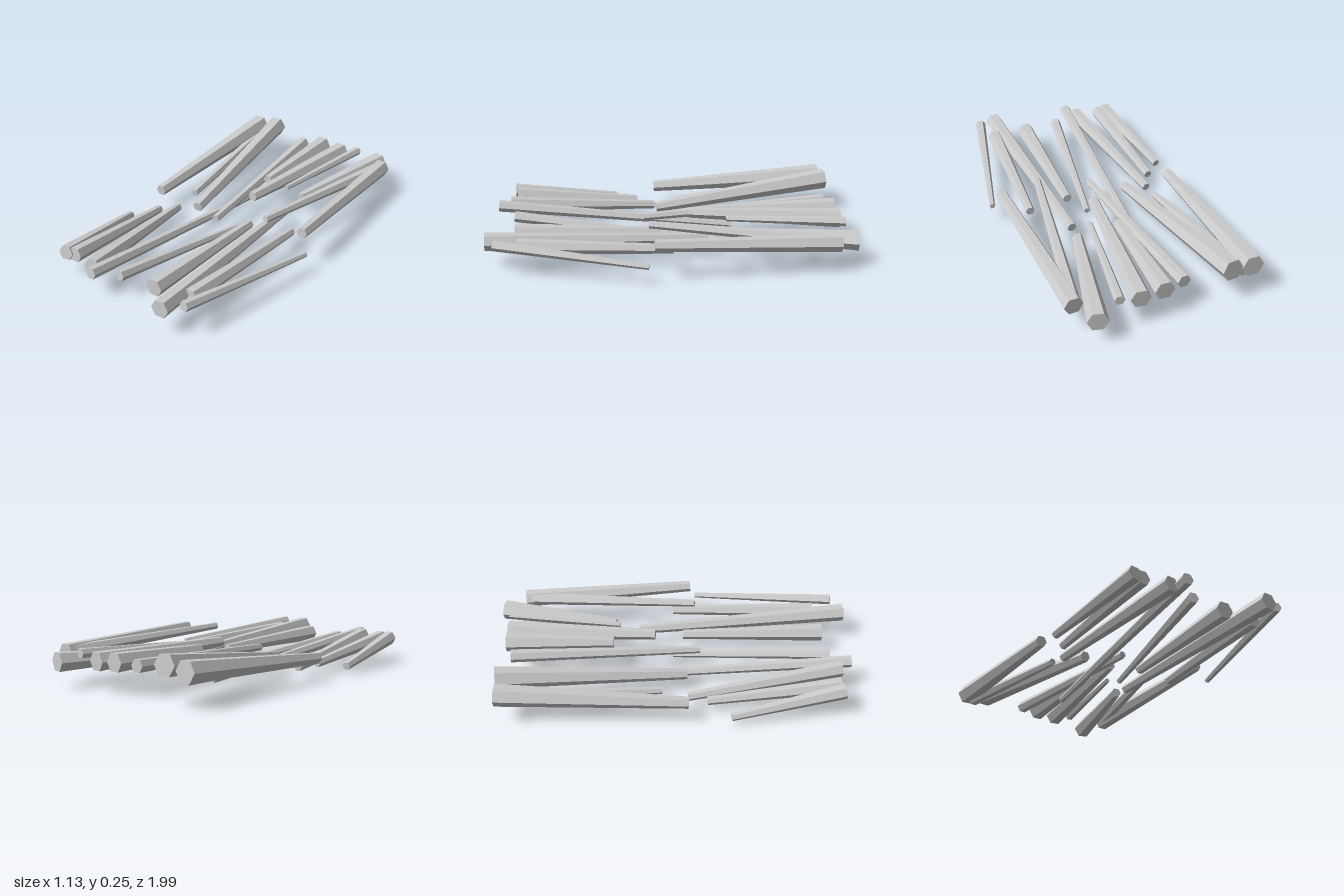
import * as THREE from 'three';

const material = new THREE.MeshStandardMaterial({ color: 0xcccccc, flatShading: true });

// Each stick: thick end [x, y, z], radius, thin end [x, y, z], radius
const backRow = [
  [[-0.51, 0.178, -0.91], 0.06, [-0.49, 0.12, 0.09], 0.032],
  [[-0.48, 0.14, -0.88], 0.035, [-0.352, 0.09, -0.05], 0.02],
  [[-0.39, 0.197, -0.925], 0.06, [-0.22, 0.10, 0.08], 0.03],
  [[-0.15, 0.16, -0.88], 0.036, [-0.03, 0.125, 0.155], 0.021],
  [[-0.03, 0.168, -0.92], 0.053, [-0.022, 0.165, -0.325], 0.03],
  [[0.098, 0.16, -0.927], 0.053, [0.037, 0.178, -0.095], 0.029],
  [[0.211, 0.19, -0.935], 0.027, [0.13, 0.18, -0.295], 0.015],
  [[0.338, 0.138, -0.985], 0.055, [0.21, 0.13, -0.325], 0.029],
  [[0.418, 0.165, -0.87], 0.05, [0.502, 0.205, 0.10], 0.031],
  [[0.41, 0.17, -0.84], 0.035, [0.287, 0.224, 0.125], 0.02],
];
const frontRow = [
  [[-0.408, 0.137, 0.91], 0.042, [-0.52, 0.05, 0.315], 0.022],
  [[-0.358, 0.137, 0.895], 0.042, [-0.413, 0.07, 0.19], 0.023],
  [[-0.21, 0.135, 0.915], 0.045, [-0.36, 0.055, 0.09], 0.024],
  [[-0.16, 0.147, 0.975], 0.033, [-0.142, 0.018, -0.35], 0.018],
  [[-0.061, 0.123, 0.875], 0.031, [0.037, 0.04, 0.005], 0.017],
  [[0.146, 0.123, 0.85], 0.049, [0.135, 0.11, 0.06], 0.026],
  [[0.312, 0.15, 0.99], 0.049, [0.195, 0.10, -0.195], 0.026],
  [[0.35, 0.14, 0.815], 0.042, [0.37, 0.12, 0], 0.025],
  [[0.41, 0.175, 0.93], 0.029, [0.55, 0.11, 0.13], 0.015],
];

// Tapered six-sided stick running from its thick end to its thin end
function makeStick([thick, thickRadius, thin, thinRadius]) {
  const a = new THREE.Vector3(...thick);
  const b = new THREE.Vector3(...thin);
  const geometry = new THREE.CylinderGeometry(thinRadius, thickRadius, a.distanceTo(b), 6);
  geometry.rotateY(Math.PI / 6); // flat side up
  geometry.rotateX(Math.PI / 2); // length along z
  const stick = new THREE.Mesh(geometry, material);
  stick.position.addVectors(a, b).multiplyScalar(0.5);
  stick.lookAt(b);
  return stick;
}

function makeRow(name, sticks) {
  const row = new THREE.Group();
  row.name = name;
  sticks.forEach((data, i) => {
    const stick = makeStick(data);
    stick.name = `${name}Stick${i + 1}`;
    row.add(stick);
  });
  return row;
}

export function createModel() {
  const model = new THREE.Group();
  model.name = 'scatteredSticks';
  model.add(makeRow('back', backRow), makeRow('front', frontRow));
  return model;
}
